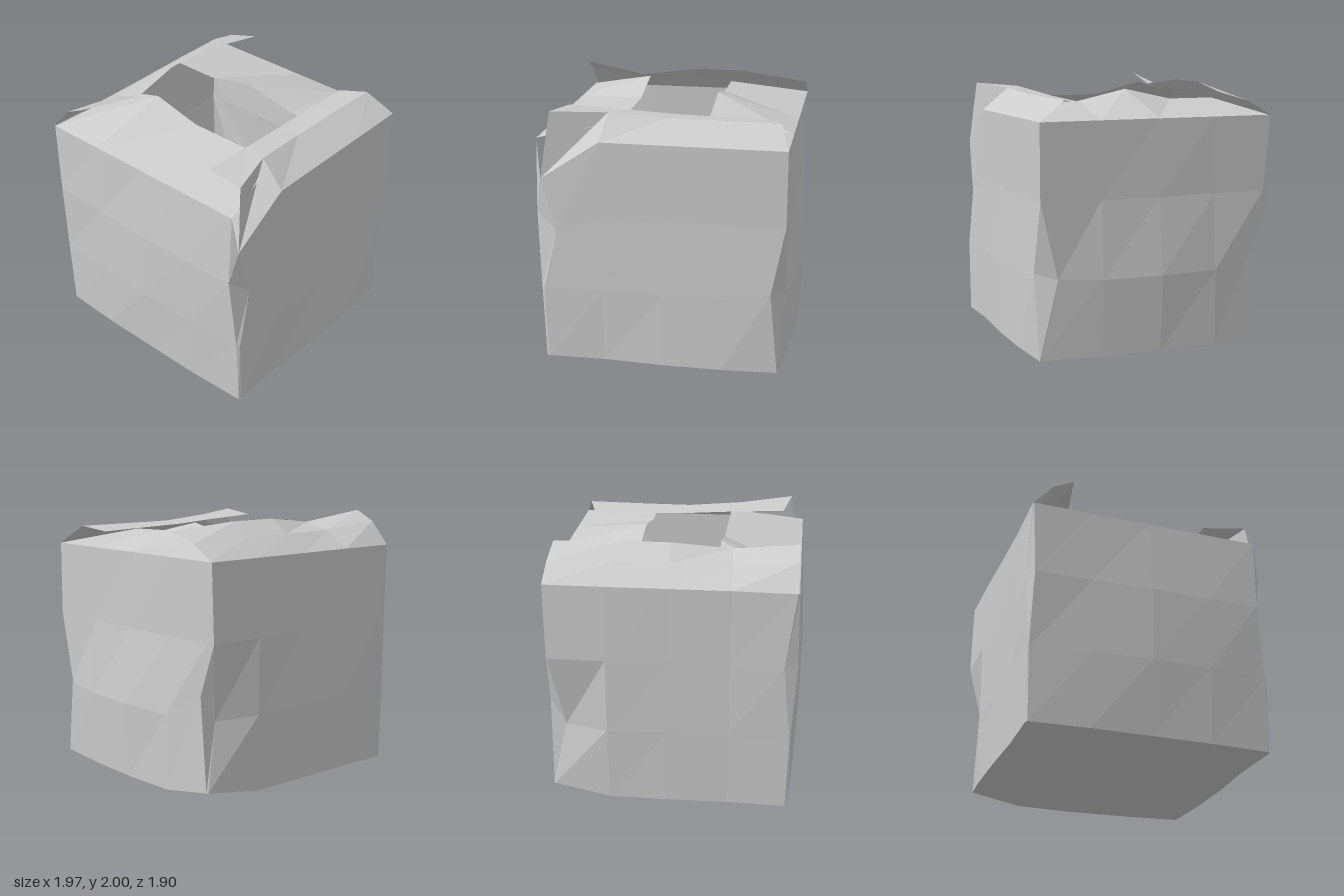
import * as THREE from 'three';

// Thin sheet from rows of points: rows run bottom to top, points left to right seen from outside
function sheet(rows) {
  const p = [];
  for (let r = 0; r + 1 < rows.length; r++) {
    for (let c = 0; c + 1 < rows[r].length; c++) {
      const a = rows[r][c], b = rows[r][c + 1], d = rows[r + 1][c + 1], e = rows[r + 1][c];
      p.push(...a, ...b, ...d, ...a, ...d, ...e);
    }
  }
  return flat(p);
}

function flat(p) {
  const g = new THREE.BufferGeometry();
  g.setAttribute('position', new THREE.Float32BufferAttribute(p, 3));
  g.computeVertexNormals();
  return g;
}

export function createModel() {
  const model = new THREE.Group();
  model.name = 'openBox';
  const cardboard = new THREE.MeshStandardMaterial({ color: 0xcccccc, side: THREE.DoubleSide, flatShading: true });
  cardboard.name = 'greyCardboard';
  const add = (name, geometry) => {
    const m = new THREE.Mesh(geometry, cardboard);
    m.name = name;
    model.add(m);
  };

  // Crumpled walls, four rows of five points each
  const walls = {
    front: [
      [[-0.9, 0, 0.94], [-0.46, 0, 0.93], [0, 0, 0.955], [0.45, 0, 0.955], [0.87, 0, 0.93]],
      [[-0.92, 0.57, 0.94], [-0.47, 0.58, 0.94], [0, 0.58, 0.95], [0.45, 0.58, 0.95], [0.81, 0.64, 0.95]],
      [[-0.81, 1.03, 0.93], [-0.47, 1.16, 0.93], [0, 1.16, 0.93], [0.45, 1.16, 0.93], [0.91, 1.17, 0.93]],
      [[-0.92, 1.44, 0.92], [-0.47, 1.74, 0.93], [0, 1.74, 0.93], [0.45, 1.74, 0.93], [0.91, 1.74, 0.93]],
    ],
    left: [
      [[0.87, 0, 0.92], [0.92, 0, 0.46], [0.95, 0, 0], [0.94, 0, -0.46], [0.9, 0.06, -0.86]],
      [[0.91, 0.6, 0.8], [0.95, 0.58, 0.46], [0.98, 0.58, 0], [0.95, 0.58, -0.46], [0.91, 0.77, -0.81]],
      [[0.91, 1.17, 0.93], [0.91, 1.16, 0.46], [0.92, 1.16, 0], [0.91, 1.16, -0.46], [0.91, 1.16, -0.88]],
      [[0.91, 1.74, 0.93], [0.91, 1.74, 0.46], [0.91, 1.74, 0], [0.91, 1.74, -0.46], [0.91, 1.74, -0.92]],
    ],
    back: [
      [[0.89, 0.06, -0.87], [0.45, 0, -0.92], [0, 0, -0.92], [-0.46, 0, -0.91], [-0.9, 0, -0.92]],
      [[0.79, 0.57, -0.83], [0.46, 0.58, -0.94], [0, 0.58, -0.93], [-0.46, 0.58, -0.92], [-0.92, 0.56, -0.93]],
      [[0.9, 1.16, -0.945], [0.46, 1.16, -0.945], [0, 1.16, -0.93], [-0.46, 1.16, -0.92], [-0.86, 1.16, -0.94]],
      [[0.91, 1.74, -0.935], [0.46, 1.74, -0.935], [0, 1.74, -0.925], [-0.47, 1.74, -0.92], [-0.94, 1.74, -0.93]],
    ],
    right: [
      [[-0.92, 0, -0.91], [-0.94, 0, -0.46], [-0.94, 0, 0], [-0.94, 0, 0.46], [-0.92, 0, 0.93]],
      [[-0.93, 0.56, -0.92], [-0.96, 0.58, -0.46], [-0.98, 0.58, 0], [-0.97, 0.58, 0.46], [-0.94, 0.58, 0.92]],
      [[-0.96, 1.16, -0.9], [-0.965, 1.16, -0.46], [-0.985, 1.16, 0], [-0.98, 1.16, 0.46], [-0.97, 1.17, 0.87]],
      [[-0.95, 1.74, -0.92], [-0.95, 1.74, -0.46], [-0.95, 1.74, 0], [-0.95, 1.74, 0.46], [-0.95, 1.74, 0.88]],
    ],
  };
  const order = ['front', 'left', 'back', 'right'];
  order.forEach((name, i) => {
    add(name + 'Wall', sheet(walls[name]));
    // Dented seam joining this wall to the next
    const next = walls[order[(i + 1) % 4]];
    add(name + 'Seam', sheet(walls[name].map((row, r) => [row[4], next[r][0]])));
  });

  // Floor fanned from the middle to the bottom edges of the walls
  const ring = order.flatMap((name) => walls[name][0]);
  add('floor', flat(ring.flatMap((a, i) => [0, 0, 0, ...ring[(i + 1) % ring.length], ...a])));

  // Folded flaps, each hinged on the top row of its wall
  const flaps = {
    front: [
      [[-0.85, 1.94, 0.87], [-0.44, 1.915, 0.73], [0, 1.885, 0.7], [0.41, 1.885, 0.705], [0.84, 1.885, 0.72]],
      [[-0.79, 1.91, 0.53], [-0.35, 1.89, 0.525], [0, 1.87, 0.515], [0.4, 1.86, 0.51], [0.77, 1.85, 0.51]],
    ],
    left: [
      [[0.27, 1.83, 0.75], [0.27, 1.84, 0.39], [0.27, 1.925, 0], [0.27, 1.84, -0.39], [0.27, 1.84, -0.76]],
    ],
    back: [
      [[0.91, 1.85, -0.74], [0.41, 1.87, -0.75], [0, 1.87, -0.75], [-0.46, 1.87, -0.72], [-0.94, 1.92, -0.77]],
      [[0.91, 1.925, -0.48], [0.38, 1.975, -0.58], [0, 1.975, -0.58], [-0.44, 1.925, -0.52], [-0.94, 2, -0.61]],
    ],
    right: [
      [[-0.35, 1.84, -0.76], [-0.35, 1.945, -0.39], [-0.35, 1.85, 0], [-0.35, 1.85, 0.39], [-0.35, 1.85, 0.74]],
    ],
  };
  for (const name of order) add(name + 'Flap', sheet([walls[name][3], ...flaps[name]]));

  return model;
}
